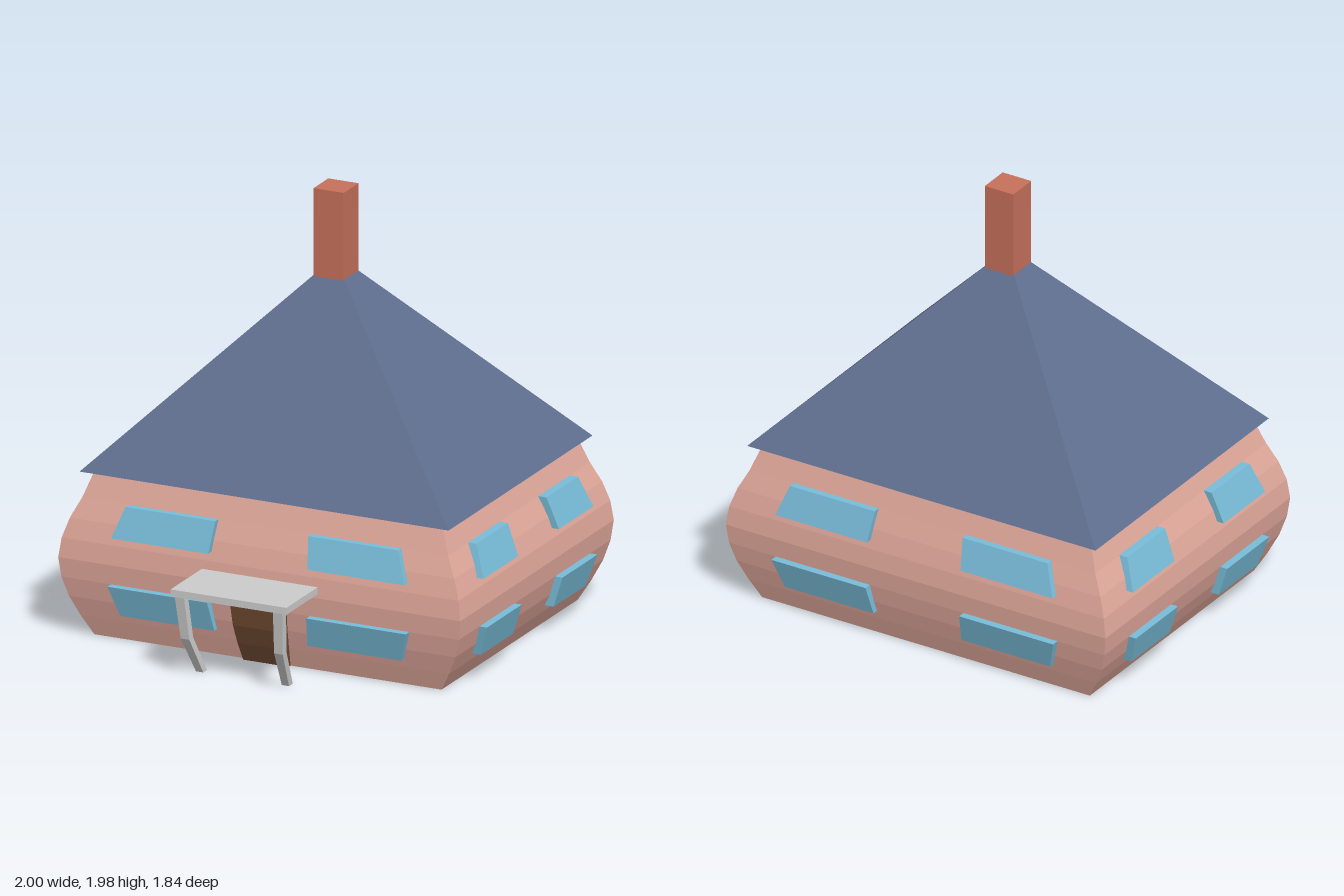
import * as THREE from 'three';

const CZ = -0.14; // centre of the house in z

const material = (color) => new THREE.MeshStandardMaterial({ color, flatShading: true });
const MAT = {
  wall: material(0xe2a99c),
  roof: material(0x5f6e8e),
  brick: material(0xc6705a),
  glass: material(0x78bcd8),
  door: material(0x704b32),
  stone: material(0xcccccc),
};

// Closed solid through four-cornered rings (anticlockwise seen from the last ring)
function loft(name, mat, rings) {
  const pos = [];
  const quad = (a, b, c, d) => pos.push(...a, ...b, ...c, ...a, ...c, ...d);
  for (let r = 0; r < rings.length - 1; r++) {
    for (let i = 0; i < 4; i++) {
      const j = (i + 1) % 4;
      quad(rings[r][i], rings[r][j], rings[r + 1][j], rings[r + 1][i]);
    }
  }
  quad(...[...rings[0]].reverse());
  quad(...rings[rings.length - 1]);
  const geo = new THREE.BufferGeometry();
  geo.setAttribute('position', new THREE.Float32BufferAttribute(pos, 3));
  geo.computeVertexNormals();
  const mesh = new THREE.Mesh(geo, mat);
  mesh.name = name;
  return mesh;
}

// Horizontal rectangle at height y
const rect = (y, x0, x1, zBack, zFront) =>
  [[x0, y, zFront], [x1, y, zFront], [x1, y, zBack], [x0, y, zBack]];
const centred = (y, hx, hz) => rect(y, -hx, hx, -hz, hz);

function box(name, mat, x0, x1, y0, y1, z0, z1) {
  const mesh = new THREE.Mesh(new THREE.BoxGeometry(x1 - x0, y1 - y0, z1 - z0), mat);
  mesh.position.set((x0 + x1) / 2, (y0 + y1) / 2, (z0 + z1) / 2);
  mesh.name = name;
  return mesh;
}

// Sloped window: bottom and top edges as [y, near, far, outward distance]
function windowPane(name, bottom, top, side) {
  const span = ([, a, b]) => (side > 0 ? [a, b] : [-b, -a]);
  const [b0, b1] = span(bottom), [t0, t1] = span(top);
  const ring = (depth) => [
    [b0, bottom[0], bottom[3] - depth], [b1, bottom[0], bottom[3] - depth],
    [t1, top[0], top[3] - depth], [t0, top[0], top[3] - depth],
  ];
  return loft(name, MAT.glass, [ring(0.06), ring(0)]);
}

export function createModel() {
  const model = new THREE.Group();
  model.name = 'house';
  const house = new THREE.Group();
  house.name = 'building';
  house.position.z = CZ;
  model.add(house);

  // Bulging walls: height, half width, half depth
  const profile = [
    [0, 0.84, 0.67], [0.09, 0.892, 0.7], [0.18, 0.935, 0.727], [0.27, 0.962, 0.746],
    [0.36, 0.973, 0.755], [0.45, 0.96, 0.747], [0.54, 0.93, 0.727],
    [0.63, 0.885, 0.698], [0.755, 0.84, 0.66],
  ];
  house.add(loft('walls', MAT.wall, profile.map((p) => centred(...p))));

  // Hipped roof and chimney
  house.add(loft('roof', MAT.roof, [centred(0.75, 0.893, 0.708), centred(1.58, 0.075, 0.07)]));
  house.add(box('chimney', MAT.brick, -0.073, 0.073, 1.56, 1.98, -0.073, 0.073));

  // Two rows of windows on each wall
  const longWall = [
    ['upperWindow', [0.49, 0.24, 0.71, 0.77], [0.63, 0.225, 0.66, 0.73]],
    ['lowerWindow', [0.13, 0.225, 0.68, 0.74], [0.27, 0.24, 0.722, 0.782]],
  ];
  const shortWall = [
    ['upperWindow', [0.49, 0.2, 0.54, 0.98], [0.63, 0.19, 0.5, 0.925]],
    ['lowerWindow', [0.13, 0.2, 0.515, 0.955], [0.27, 0.2, 0.545, 0.998]],
  ];
  ['front', 'left', 'back', 'right'].forEach((wall, i) => {
    const group = new THREE.Group();
    group.name = wall + 'Windows';
    group.rotation.y = i * Math.PI / 2;
    for (const [name, bottom, top] of i % 2 ? shortWall : longWall) {
      for (const side of [-1, 1]) group.add(windowPane(name, bottom, top, side));
    }
    house.add(group);
  });

  // Curved door following the wall: height, half width, front z
  const doorProfile = [
    [0, 0.11, 0.55], [0.09, 0.117, 0.592], [0.18, 0.123, 0.625], [0.315, 0.13, 0.648],
  ];
  model.add(loft('door', MAT.door, doorProfile.map(([y, x, z]) => rect(y, -x, x, z - 0.06, z))));

  // Porch canopy on two bent posts
  model.add(box('porchCanopy', MAT.stone, -0.28, 0.28, 0.378, 0.41, 0.6, 0.918));
  const postProfile = [
    [0, 0.19, 0.225, 0.743, 0.78], [0.18, 0.205, 0.247, 0.848, 0.886],
    [0.38, 0.215, 0.26, 0.88, 0.918],
  ];
  for (const side of [-1, 1]) {
    model.add(loft(side > 0 ? 'leftPorchPost' : 'rightPorchPost', MAT.stone,
      postProfile.map(([y, a, b, z0, z1]) =>
        (side > 0 ? rect(y, a, b, z0, z1) : rect(y, -b, -a, z0, z1)))));
  }
  return model;
}
